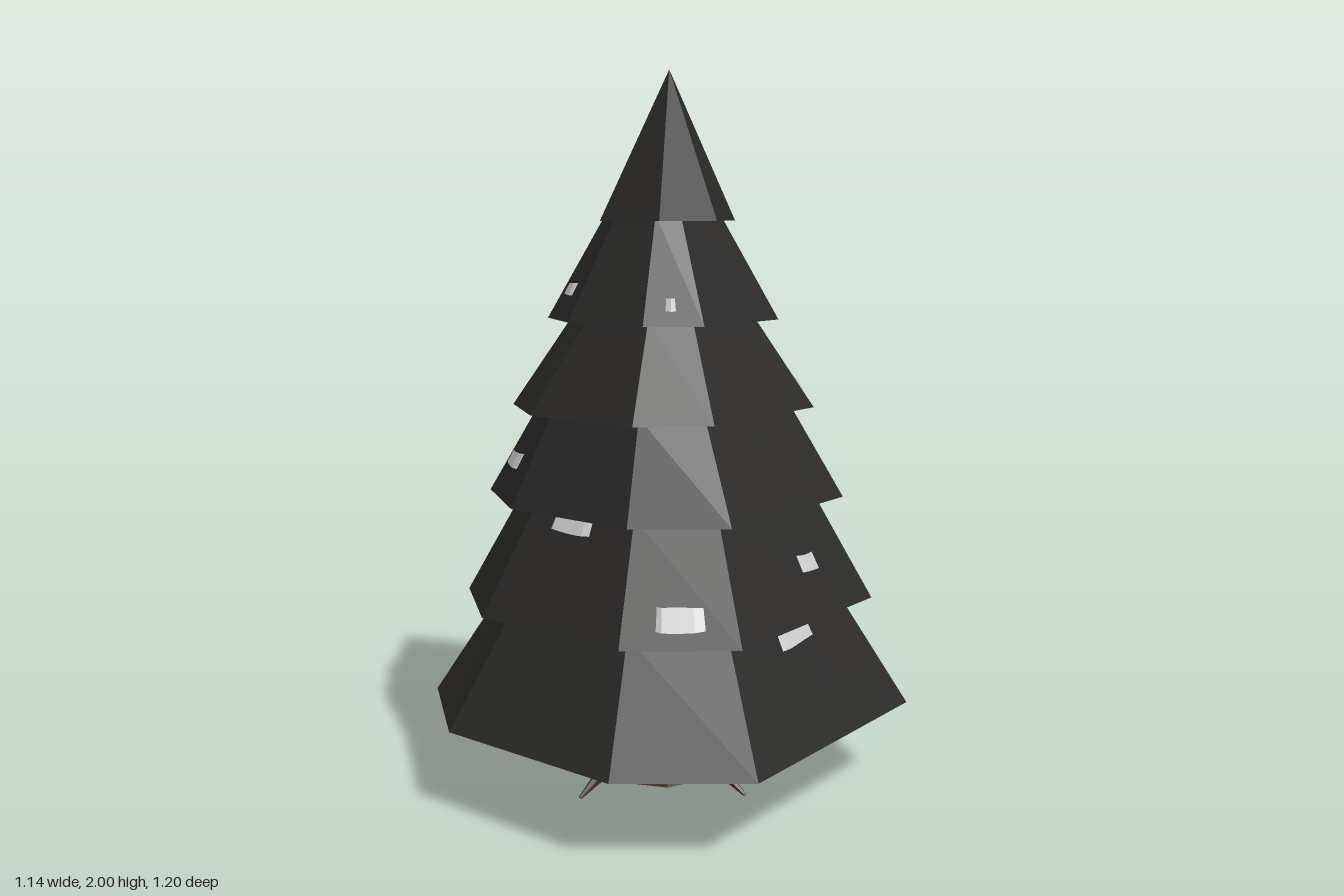
import * as THREE from 'three';

const mat = (color) => new THREE.MeshStandardMaterial({ color, flatShading: true, side: THREE.DoubleSide });
const needles = mat(0x2a2928), bark = mat(0x443022), garlandMat = mat(0xcccccc);
const V = (x, y, z) => new THREE.Vector3(x, y, z);

// Eight-sided ring of corners, starting on the +x side; xl and xr are the left and right half widths
const ring8 = (y, xl, xr, z) => [
  [xr, 0.62 * z], [0.47 * z, z], [-0.47 * z, z], [-xl, 0.62 * z],
  [-xl, -0.62 * z], [-0.47 * z, -z], [0.47 * z, -z], [xr, -0.62 * z],
].map(([x, zz]) => V(x, y, zz));

// Surface between two rings with the same number of points, closed around
function band(bottom, top) {
  const pos = [], n = bottom.length;
  for (let i = 0; i < n; i++) {
    const j = (i + 1) % n;
    for (const p of [bottom[i], top[i], top[j], bottom[i], top[j], bottom[j]]) pos.push(p.x, p.y, p.z);
  }
  const g = new THREE.BufferGeometry();
  g.setAttribute('position', new THREE.Float32BufferAttribute(pos, 3));
  g.computeVertexNormals();
  return g;
}

// Distance from the axis to the tier's wall at an angle and height
function wallRadius(bottom, top, angle, y) {
  const t = (y - bottom[0].y) / (top[0].y - bottom[0].y);
  const pts = bottom.map((p, i) => p.clone().lerp(top[i], t));
  const dx = Math.cos(angle), dz = Math.sin(angle);
  let best = 0;
  pts.forEach((a, i) => {
    const b = pts[(i + 1) % pts.length], ex = b.x - a.x, ez = b.z - a.z;
    const den = dx * ez - dz * ex;
    if (Math.abs(den) < 1e-9) return;
    const r = (a.x * ez - a.z * ex) / den, s = (a.x * dz - a.z * dx) / den;
    if (r > 0 && s >= -1e-6 && s <= 1 + 1e-6) best = Math.max(best, r);
  });
  return best;
}

// Wavy ribbon behind the wall that comes through it at spots [degrees, height, half angle]
function garland(bottom, top, y0, halfHeight, wave, spots) {
  const low = [], high = [], n = 120;
  for (let i = 0; i < n; i++) {
    const deg = (i * 360) / n, a = THREE.MathUtils.degToRad(deg);
    let out = 0, y = y0 + wave * Math.sin(5 * a + 1);
    for (const [d, sy, half] of spots) {
      const away = Math.abs(((deg - d + 540) % 360) - 180);
      const near = 1 - THREE.MathUtils.smoothstep(away, half - 1, half + 6);
      y = THREE.MathUtils.lerp(y, sy, 1 - THREE.MathUtils.smoothstep(away, half, half + 20));
      out = Math.max(out, near);
    }
    const h = halfHeight * (0.9 + 0.15 * Math.sin(9 * a));
    const at = (yy) => {
      const r = wallRadius(bottom, top, a, yy) - 0.03 + 0.038 * out;
      return V(r * Math.cos(a), yy, r * Math.sin(a));
    };
    low.push(at(y - h));
    high.push(at(y + h));
  }
  return band(low, high);
}

// Tapering root swept along a curve
function root(points, r0, r1) {
  const curve = new THREE.CatmullRomCurve3(points.map((p) => V(...p)));
  const g = new THREE.CylinderGeometry(1, 1, 1, 6, 5);
  const p = g.attributes.position;
  for (let i = 0; i < p.count; i++) {
    const t = 0.5 - p.getY(i), c = curve.getPoint(t), tan = curve.getTangent(t);
    const side = V(0, 1, 0).cross(tan).normalize(), up = tan.clone().cross(side);
    const r = THREE.MathUtils.lerp(r0, r1, t);
    c.addScaledVector(side, p.getX(i) * r).addScaledVector(up, p.getZ(i) * r);
    p.setXYZ(i, c.x, Math.max(0, c.y), c.z);
  }
  g.computeVertexNormals();
  return g;
}

export function createModel() {
  const tree = new THREE.Group();
  tree.name = 'tree';
  const add = (name, geometry, material) => {
    const m = new THREE.Mesh(geometry, material);
    m.name = name;
    tree.add(m);
  };

  // Five skirts of branches, each with its garland
  const tiers = [
    { lo: [0.235, 0.575, 0.57, 0.6], hi: [0.55, 0.395, 0.4, 0.43], g: [0.39, 0.035, 0.035],
      spots: [[-49, 0.36, 12], [-131, 0.36, 12], [-64, 0.36, 2], [-116, 0.36, 2], [0, 0.51, 9]] },
    { lo: [0.54, 0.49, 0.48, 0.51], hi: [0.845, 0.345, 0.335, 0.36], g: [0.67, 0.028, 0.03],
      spots: [[49, 0.61, 6], [-11, 0.68, 4], [-129, 0.65, 5], [94, 0.81, 9]] },
    { lo: [0.83, 0.445, 0.41, 0.43], hi: [1.095, 0.305, 0.27, 0.315], g: [0.95, 0.02, 0.025],
      spots: [[139, 0.935, 6]] },
    { lo: [1.08, 0.38, 0.33, 0.377], hi: [1.34, 0.23, 0.185, 0.22], g: [1.16, 0.02, 0.02],
      spots: [[-47, 1.14, 9], [-119, 1.17, 3]] },
    { lo: [1.325, 0.3, 0.25, 0.276], hi: [1.61, 0.155, 0.11, 0.145], g: [1.4, 0.016, 0.015],
      spots: [[137, 1.41, 6], [51, 1.38, 2]] },
  ];
  tiers.forEach(({ lo, hi, g, spots }, i) => {
    const bottom = ring8(...lo), top = ring8(...hi);
    add(`branchTier${i + 1}`, band(bottom, top), needles);
    add(`garland${i + 1}`, garland(bottom, top, ...g, spots), garlandMat);
  });

  // Six-sided pointed top
  const hex = [[0.163, 0], [0.1, 0.17], [-0.105, 0.17], [-0.18, 0], [-0.11, -0.172], [0.1, -0.172]]
    .map(([x, z]) => V(x, 1.595, z));
  add('treeTop', band(hex, hex.map(() => V(0, 2, 0))), needles);

  // Trunk with a flared foot
  const profile = [[0, 0], [0.13, 0], [0.1, 0.07], [0.075, 0.15], [0.066, 0.235], [0.06, 0.6], [0.035, 1.2], [0, 1.2]];
  const trunk = new THREE.LatheGeometry(profile.map(([r, y]) => new THREE.Vector2(r, y)), 8);
  trunk.translate(-0.025, 0, 0);
  add('trunk', trunk, bark);

  // Roots spreading over the ground
  const roots = [
    [[0.0, 0.1, 0], [0.09, 0.085, 0], [0.17, 0.06, 0], [0.27, 0, 0]],
    [[-0.03, 0.15, 0.03], [-0.05, 0.08, 0.13], [-0.07, 0.05, 0.21], [-0.08, 0, 0.3]],
    [[-0.03, 0.15, -0.03], [-0.05, 0.08, -0.12], [-0.07, 0.04, -0.18], [-0.08, 0, -0.235]],
    [[-0.04, 0.15, 0.02], [-0.1, 0.07, 0.06], [-0.14, 0.04, 0.09], [-0.18, 0, 0.11]],
    [[-0.04, 0.13, -0.02], [-0.11, 0.06, -0.04], [-0.15, 0.03, -0.05], [-0.19, 0, -0.06]],
  ];
  roots.forEach((pts, i) => add(`root${i + 1}`, root(pts, 0.045, 0.006), bark));

  return tree;
}
